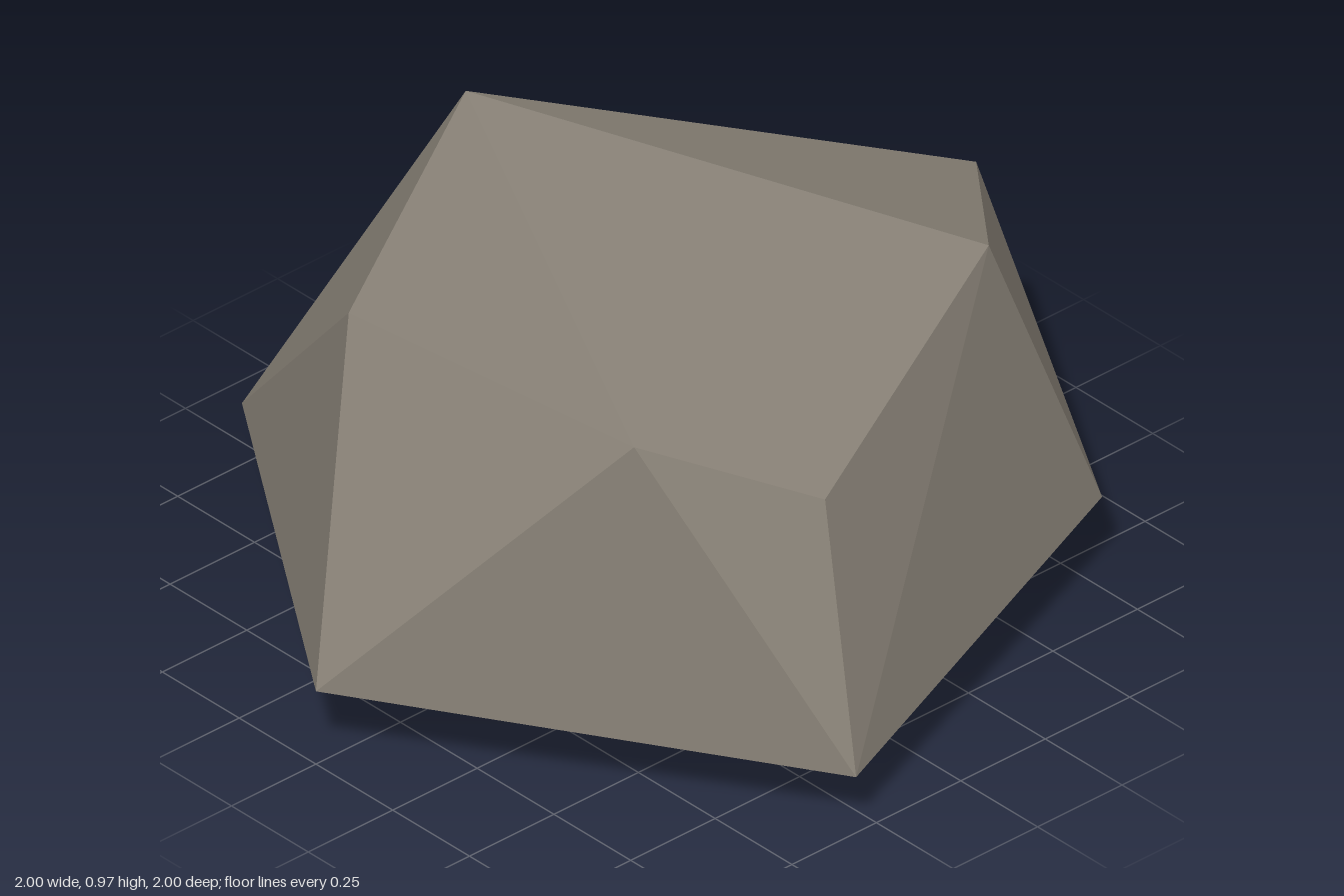
import * as THREE from 'three';

// Corners of the boulder: foot, a wide lower ring and a raised crown
const corners = {
  foot: [0.01, 0, 0],
  lowBack: [-0.31, 0.16, -1], lowBackLeft: [0.88, 0.14, -0.61], lowFrontLeft: [0.8, 0.19, 0.58],
  lowFront: [-0.31, 0.145, 1], lowRight: [-1, 0.19, 0],
  topBack: [0.08, 0.95, -0.7], topLeft: [1, 0.675, -0.05], topFrontLeft: [0.51, 0.95, 0.53],
  brow: [-0.22, 0.735, 0.8], topFrontRight: [-0.59, 0.93, 0.585], topRight: [-0.73, 0.97, -0.19],
};

const ring = ['lowBack', 'lowBackLeft', 'lowFrontLeft', 'lowFront', 'lowRight'];

// Shallow underside fanning out from the foot
const underside = ring.map((name, i) => ['foot', name, ring[(i + 1) % ring.length]]);

const sides = [
  ['lowFront', 'lowFrontLeft', 'topFrontLeft'],
  ['lowFront', 'topFrontLeft', 'brow'],
  ['lowFront', 'brow', 'topFrontRight'],
  ['brow', 'topFrontLeft', 'topFrontRight'],
  ['lowFrontLeft', 'topLeft', 'topFrontLeft'],
  ['lowFrontLeft', 'lowBackLeft', 'topLeft'],
  ['lowBackLeft', 'topBack', 'topLeft'],
  ['lowBackLeft', 'lowBack', 'topBack'],
  ['lowBack', 'topRight', 'topBack'],
  ['lowBack', 'lowRight', 'topRight'],
  ['lowRight', 'topFrontRight', 'topRight'],
  ['lowRight', 'lowFront', 'topFrontRight'],
];

const crown = [
  ['topBack', 'topRight', 'topFrontRight'],
  ['topBack', 'topFrontRight', 'topFrontLeft'],
  ['topBack', 'topFrontLeft', 'topLeft'],
];

// Unshared corners give every facet its own flat normal
function facets(triangles) {
  const geometry = new THREE.BufferGeometry();
  const positions = triangles.flat().flatMap((name) => corners[name]);
  geometry.setAttribute('position', new THREE.Float32BufferAttribute(positions, 3));
  geometry.computeVertexNormals();
  return geometry;
}

export function createModel() {
  const stone = new THREE.MeshStandardMaterial({ color: 0x8a8378 });
  stone.name = 'stone';
  stone.flatShading = true;

  const model = new THREE.Group();
  model.name = 'rock';
  const boulder = new THREE.Mesh(facets([...underside, ...sides, ...crown]), stone);
  boulder.name = 'boulder';
  model.add(boulder);
  return model;
}
